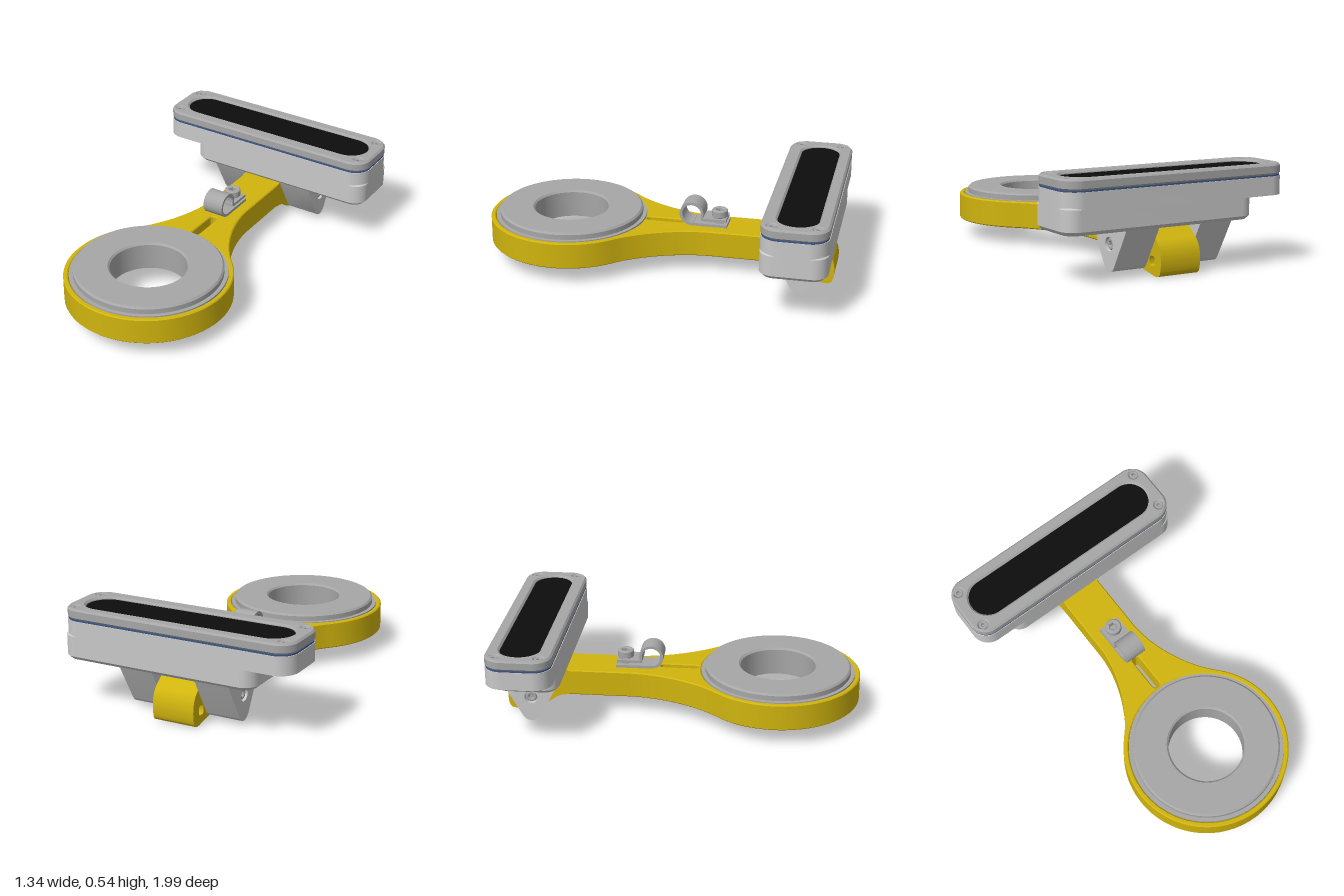
import * as THREE from 'three';
import { toCreasedNormals } from 'three/addons/utils/BufferGeometryUtils.js';

const mat = (name, color) => {
  const m = new THREE.MeshStandardMaterial({ color });
  m.name = name;
  return m;
};

export function createModel() {
  const root = new THREE.Group();
  const yellow = mat('yellow', 0xd0b40e);
  const grey = mat('grey', 0xa6a6a6);
  const pale = mat('pale grey', 0xc8c8c8);
  const black = mat('black', 0x0d0d0d);
  const blue = mat('seal blue', 0x3a5684);

  const add = (name, geo, material, parent = root) => {
    const m = new THREE.Mesh(geo, material);
    m.name = name;
    parent.add(m);
    return m;
  };
  const extrude = (shape, length, bevel = 0) => {
    const g = new THREE.ExtrudeGeometry(shape, {
      depth: length - 2 * bevel, curveSegments: 24, bevelEnabled: bevel > 0,
      bevelSize: bevel, bevelThickness: bevel, bevelOffset: -bevel, bevelSegments: 1,
    });
    return g.translate(0, 0, bevel);
  };
  // plan shapes are (x, -z) raised from y0 to y1; side shapes are (-z, y) spanning x0 to x1
  const plan = (shape, y0, y1, bevel) =>
    toCreasedNormals(extrude(shape, y1 - y0, bevel).rotateX(-Math.PI / 2).translate(0, y0, 0), 0.5);
  const side = (shape, x0, x1, bevel) =>
    toCreasedNormals(extrude(shape, x1 - x0, bevel).rotateY(Math.PI / 2).translate(x0, 0, 0), 0.5);

  const roundRect = (x0, x1, s0, s1, r, Type = THREE.Shape) => {
    const p = new Type();
    p.absarc(x1 - r, s0 + r, r, -Math.PI / 2, 0);
    p.absarc(x1 - r, s1 - r, r, 0, Math.PI / 2);
    p.absarc(x0 + r, s1 - r, r, Math.PI / 2, Math.PI);
    p.absarc(x0 + r, s0 + r, r, Math.PI, Math.PI * 1.5);
    p.closePath();
    return p;
  };
  const circle = (x, y, r, Type = THREE.Path) => new Type().absarc(x, y, r, 0, Math.PI * 2);
  const box = (name, w, h, d, x, y, z, m, parent) =>
    add(name, new THREE.BoxGeometry(w, h, d).translate(x, y, z), m, parent);

  // Screw head with a hex socket, axis along y, top at y = 0
  const screw = (name, r, h, m) => {
    const g = new THREE.Group();
    g.name = name;
    const head = circle(0, 0, r, THREE.Shape);
    const hex = new THREE.Path();
    for (let i = 0; i < 6; i++) {
      const a = i * Math.PI / 3;
      hex[i ? 'lineTo' : 'moveTo'](Math.cos(a) * r * 0.5, Math.sin(a) * r * 0.5);
    }
    hex.closePath();
    head.holes.push(hex);
    add('head', plan(head, -h, 0, r * 0.12), m, g);
    add('socketFloor', new THREE.CylinderGeometry(r * 0.7, r * 0.7, 0.005, 24).translate(0, -h + 0.0035, 0), m, g);
    root.add(g);
    return g;
  };

  // Arm flaring into a round holder
  const ringS = -0.535, R = 0.46, a = 0.77;
  const ex = R * Math.cos(a), es = ringS + R * Math.sin(a);
  const arm = new THREE.Shape();
  arm.moveTo(-0.12, 0.66);
  arm.lineTo(0.12, 0.66);
  arm.lineTo(0.12, 0.3);
  arm.bezierCurveTo(0.12, 0.12, 0.21, -0.09, ex, es);
  arm.absarc(0, ringS, R, a, -Math.PI - a, true);
  arm.bezierCurveTo(-0.21, -0.09, -0.12, 0.12, -0.12, 0.3);
  arm.closePath();
  arm.holes.push(circle(0, ringS, 0.432));
  arm.holes.push(roundRect(-0.022, 0.022, -0.092, 0.13, 0.02, THREE.Path));
  add('armAndHolder', plan(arm, 0.1, 0.25, 0.006), yellow);

  // Hooked rear end of the arm, pocketed on both sides
  const hook = (pocket) => {
    const s = new THREE.Shape();
    s.moveTo(0.64, 0.25);
    s.lineTo(0.64, 0.1);
    s.bezierCurveTo(0.73, 0.1, 0.74, 0.035, 0.82, 0.025);
    s.lineTo(0.93, 0.004);
    s.bezierCurveTo(0.965, 0, 0.98, 0.01, 0.985, 0.04);
    s.bezierCurveTo(0.995, 0.1, 0.985, 0.17, 0.93, 0.2);
    s.lineTo(0.87, 0.25);
    s.closePath();
    if (pocket) s.holes.push(roundRect(0.885, 0.93, 0.055, 0.105, 0.012, THREE.Path));
    return s;
  };
  add('armHookCore', side(hook(false), -0.09, 0.09), yellow);
  for (const x of [-0.12, 0.09]) add('armHookCheek', side(hook(true), x, x + 0.03), yellow);

  // Annular disc seated in the holder
  const profile = [
    [0.21, 0.13], [0.4, 0.13], [0.4, 0.108], [0.43, 0.108], [0.43, 0.252], [0.408, 0.252],
    [0.408, 0.28], [0.398, 0.29], [0.22, 0.29], [0.21, 0.28], [0.21, 0.13],
  ].map(([r, y]) => new THREE.Vector2(r, y));
  const disc = new THREE.LatheGeometry(profile, 80).translate(0, 0, -ringS);
  add('disc', toCreasedNormals(disc, 0.4), grey);
  box('discLatch', 0.05, 0.02, 0.05, 0, 0.122, 0.175, pale);

  // Loop clip with its two tails
  const loop = new THREE.Shape();
  const loopEnd = Math.PI * 1.55;
  loop.absarc(0.175, 0.322, 0.068, -0.4, loopEnd);
  loop.absarc(0.175, 0.322, 0.053, loopEnd, -0.4, true);
  loop.closePath();
  add('clipLoop', side(loop, -0.062, 0.06), grey);
  box('clipLowerTail', 0.122, 0.016, 0.2, -0.001, 0.261, -0.275, grey);
  box('clipUpperTail', 0.122, 0.015, 0.14, -0.001, 0.292, -0.3, grey);
  add('clipSpacer', new THREE.CylinderGeometry(0.04, 0.04, 0.03, 24).translate(0, 0.278, -0.325), grey);
  screw('clipScrew', 0.045, 0.045, grey).position.set(0, 0.342, -0.325);

  // Stepped housing with a pocket underneath
  const s0 = 0.638, s1 = 0.998;
  const lower = roundRect(-0.46, 0.668, s0, s1, 0.08);
  lower.holes.push(roundRect(0.4, 0.61, 0.73, 0.9, 0.04, THREE.Path));
  add('housingLower', plan(lower, 0.26, 0.41, 0.02), pale);
  add('housingUpper', plan(roundRect(-0.668, 0.668, s0, s1, 0.1), 0.375, 0.475), pale);
  add('seal', plan(roundRect(-0.664, 0.664, s0 + 0.004, s1 - 0.004, 0.096), 0.474, 0.483), blue);

  // Bezel with a long slot and four sunk screws
  const bezel = roundRect(-0.668, 0.668, s0, s1, 0.1);
  bezel.holes.push(roundRect(-0.6, 0.6, 0.714, 0.932, 0.108, THREE.Path));
  const corners = [[-0.61, 0.7], [0.61, 0.7], [-0.61, 0.94], [0.61, 0.94]];
  for (const [x, s] of corners) bezel.holes.push(circle(x, s, 0.024));
  add('bezel', plan(bezel, 0.482, 0.54, 0.01), grey);
  add('grille', plan(roundRect(-0.605, 0.605, 0.709, 0.937, 0.113), 0.518, 0.526), black);
  for (const [x, s] of corners) screw('bezelScrew', 0.024, 0.03, grey).position.set(x, 0.536, -s);

  // Pair of tapered hinge brackets
  const bracket = new THREE.Shape();
  bracket.moveTo(s0 + 0.002, 0.29);
  bracket.lineTo(0.768, 0.058);
  bracket.absarc(0.817, 0.08, 0.052, Math.PI + 0.5, Math.PI * 2 - 0.5);
  bracket.lineTo(s1 - 0.002, 0.29);
  bracket.closePath();
  bracket.holes.push(circle(0.815, 0.17, 0.037));
  for (const k of [-1, 1]) {
    add('hingeBracket', side(bracket, k > 0 ? 0.125 : -0.32, k > 0 ? 0.32 : -0.125), pale);
    const bolt = screw('hingeBolt', 0.03, 0.03, grey);
    bolt.rotation.z = -k * Math.PI / 2;
    bolt.position.set(k * 0.312, 0.17, -0.815);
  }
  const pin = new THREE.CylinderGeometry(0.0372, 0.0372, 0.57, 32).rotateZ(Math.PI / 2);
  add('hingePin', pin.translate(0, 0.17, -0.815), grey);
  return root;
}
